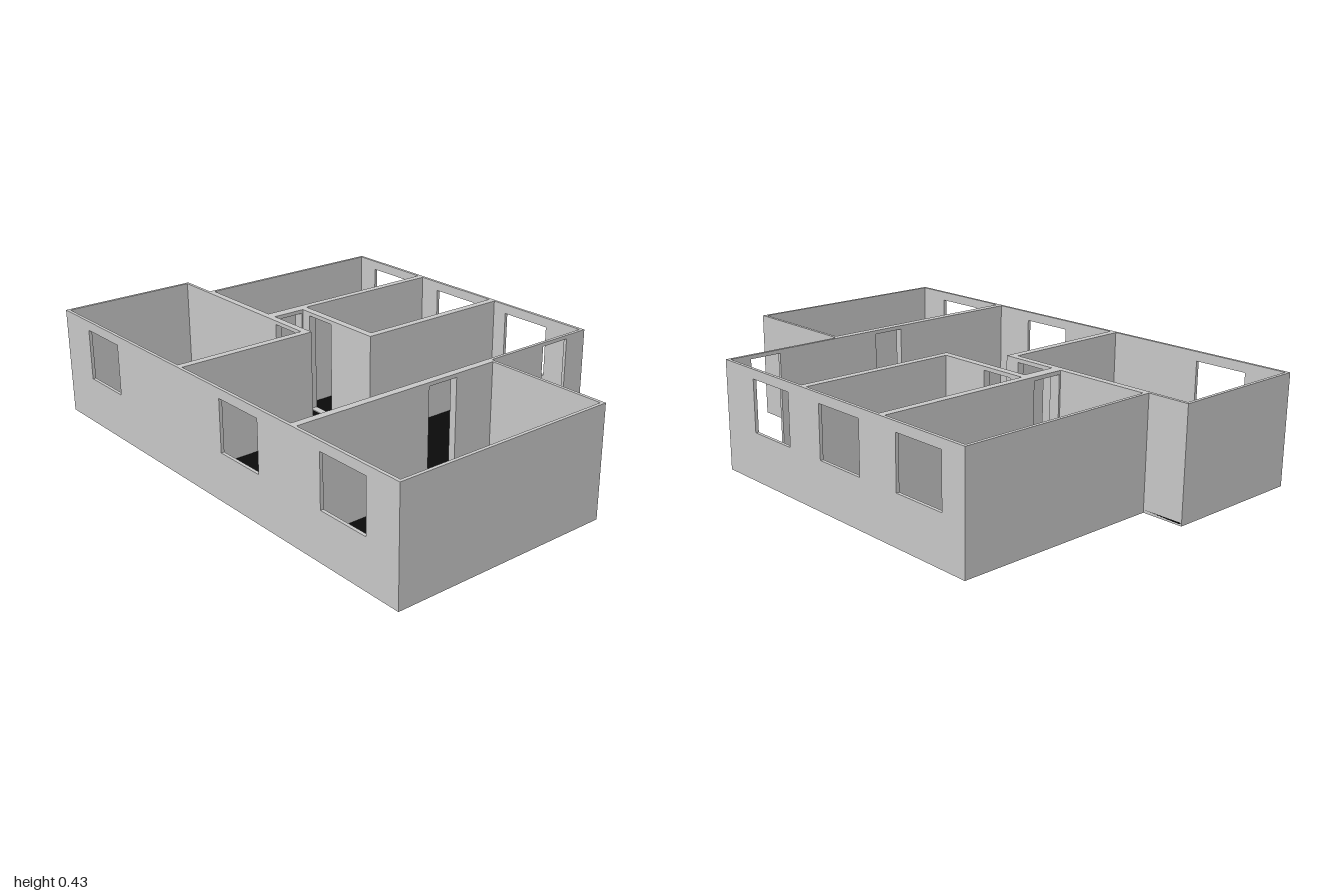
import * as THREE from 'three';

const H = 0.43, FLOOR = 0.012;
const grey = new THREE.MeshStandardMaterial({ color: 0xcccccc });
const black = new THREE.MeshStandardMaterial({ color: 0x0b0b0b });

// openings given as [from, to, bottom, top] along the wall
const windowAt = (c) => [c - 0.11, c + 0.11, 0.19, 0.393];
const door = (a, b) => [a, b, FLOOR + 0.003, 0.415];

// wall running along 'x' or 'z' from a0 to a1, filling c0 to c1 across
function wall(name, axis, a0, a1, c0, c1, openings = [], base = 0) {
  const rect = (P, l, r, b, t) => {
    const p = new P();
    p.moveTo(l, b); p.lineTo(r, b); p.lineTo(r, t); p.lineTo(l, t); p.closePath();
    return p;
  };
  const shape = rect(THREE.Shape, a0, a1, base, H);
  shape.holes = openings.map((o) => rect(THREE.Path, ...o));
  const geo = new THREE.ExtrudeGeometry(shape, { depth: c1 - c0, bevelEnabled: false });
  if (axis === 'x') geo.translate(0, 0, c0);
  else geo.rotateY(-Math.PI / 2).translate(c1, 0, 0);
  const mesh = new THREE.Mesh(geo, grey);
  mesh.name = name;
  return mesh;
}

function slab(name, material, x0, x1, z0, z1, y0, y1) {
  const mesh = new THREE.Mesh(new THREE.BoxGeometry(x1 - x0, y1 - y0, z1 - z0), material);
  mesh.position.set((x0 + x1) / 2, (y0 + y1) / 2, (z0 + z1) / 2);
  mesh.name = name;
  return mesh;
}

export function createModel() {
  const house = new THREE.Group();
  house.name = 'openHouse';

  // bedroom floors: grey base with a black covering
  const rooms = [
    ['backLeftRoom', -0.695, -0.127, -0.995, -0.18],
    ['backRightRoom', -0.124, 0.695, -0.83, -0.43],
    ['sideRoom', 0.04, 0.695, -0.43, 0.002],
    ['frontRoom', -0.695, 0.195, 0.484, 0.995],
  ];
  for (const [name, x0, x1, z0, z1] of rooms) {
    house.add(slab(name + 'Base', grey, x0, x1, z0, z1, 0, 0.006));
    house.add(slab(name + 'Floor', black, x0, x1, z0, z1, 0.006, FLOOR));
  }

  // living room and corridor floor, black right through
  house.add(
    slab('livingFloor', black, -0.699, 0.699, 0.002, 0.481, -0.0005, FLOOR),
    slab('livingFloorBack', black, -0.699, 0.04, -0.18, 0.002, -0.0005, FLOOR),
    slab('corridorFloor', black, -0.124, 0.04, -0.43, -0.18, -0.0005, FLOOR),
  );

  // outer walls
  house.add(
    wall('leftOuterWall', 'z', -1, 1, -0.7, -0.687, [-0.71, 0.19, 0.74].map(windowAt)),
    wall('rightOuterWall', 'z', -0.835, 0.481, 0.687, 0.7, [-0.62, -0.21, 0.19].map(windowAt)),
    wall('backLeftOuterWall', 'x', -0.687, -0.127, -1, -0.987),
    wall('backRightOuterWall', 'x', -0.127, 0.687, -0.835, -0.822),
    wall('backStepWall', 'z', -0.987, -0.835, -0.14, -0.127),
    wall('frontOuterWall', 'x', -0.687, 0.2, 0.987, 1),
    wall('frontStepWall', 'z', 0.498, 0.987, 0.187, 0.2),
    wall('entranceWall', 'x', 0.2, 0.687, 0.468, 0.481, [door(0.47, 0.6)], FLOOR),
  );

  // partition walls
  house.add(
    wall('frontRoomPartition', 'x', -0.687, 0.2, 0.468, 0.498, [door(-0.12, 0.01)]),
    wall('backLeftRoomPartition', 'x', -0.687, -0.112, -0.195, -0.165),
    wall('corridorLeftPartition', 'z', -0.835, -0.195, -0.14, -0.112, [door(-0.355, -0.225)]),
    wall('corridorEndPartition', 'x', -0.112, 0.025, -0.442, -0.398, [door(-0.105, 0.02)]),
    wall('backRightRoomPartition', 'x', 0.025, 0.687, -0.442, -0.413),
    wall('corridorRightPartition', 'z', -0.413, 0.017, 0.025, 0.055, [door(-0.355, -0.22)]),
    wall('sideRoomPartition', 'x', 0.055, 0.687, -0.013, 0.017),
  );
  return house;
}
